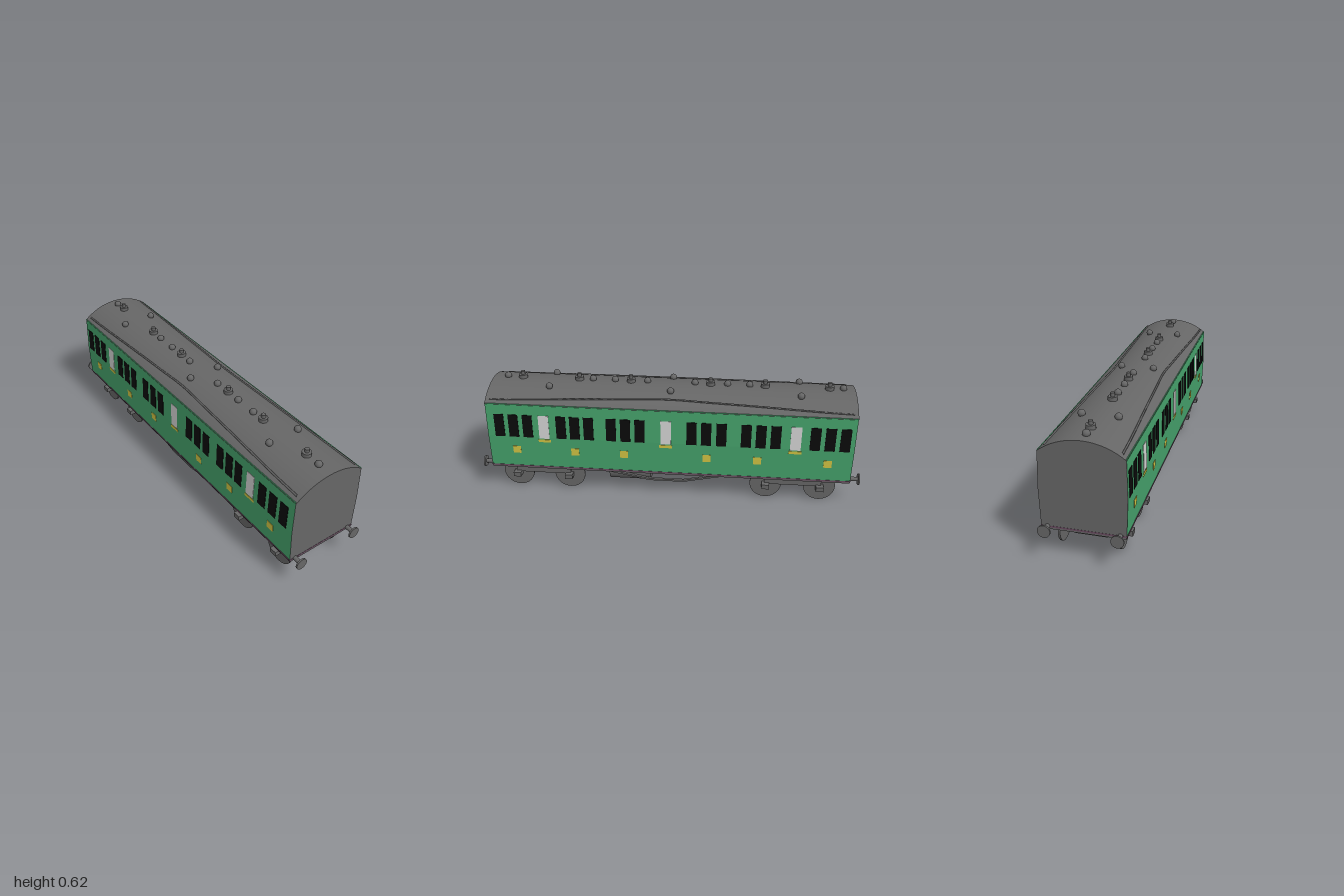
import * as THREE from 'three';

const mat = (name, color) => {
  const m = new THREE.MeshStandardMaterial({ color });
  m.name = name;
  return m;
};

export function createModel() {
  const root = new THREE.Group();
  root.name = 'railwayCoach';
  const grey = mat('darkGrey', 0x666666);
  const green = mat('coachGreen', 0x46a36c);
  const black = mat('windowBlack', 0x0a0a0a);
  const white = mat('frostedWhite', 0xd4d4d4);
  const yellow = mat('yellow', 0xd4c644);
  const plum = mat('plumGrey', 0x6b4d62);

  const add = (name, geo, material, x = 0, y = 0, z = 0, parent = root) => {
    const m = new THREE.Mesh(geo, material);
    m.name = name;
    m.position.set(x, y, z);
    parent.add(m);
    return m;
  };
  const box = (w, h, d) => new THREE.BoxGeometry(w, h, d);
  const cylX = (r, len, n = 32) => new THREE.CylinderGeometry(r, r, len, n).rotateZ(Math.PI / 2);
  const cylZ = (r, len, n = 32) => new THREE.CylinderGeometry(r, r, len, n).rotateX(Math.PI / 2);
  const extrude = (shape, len) =>
    new THREE.ExtrudeGeometry(shape, { depth: len, bevelEnabled: false, curveSegments: 20 }).translate(0, 0, -len / 2);

  // Body shell: grey ends, green sides
  const BOTTOM = 0.15, WAIST = 0.33, EAVES = 0.515;
  const body = new THREE.Shape([
    [-0.194, BOTTOM], [0.194, BOTTOM], [0.2, WAIST], [0.195, EAVES], [-0.195, EAVES], [-0.2, WAIST],
  ].map(p => new THREE.Vector2(...p)));
  add('body', extrude(body, 1.9), [grey, green]);

  // Arched roof
  const ROOF_R = 0.3136, ROOF_Y = 0.2664;
  const roofY = x => ROOF_Y + Math.sqrt(ROOF_R * ROOF_R - x * x);
  const half = Math.asin(0.196 / ROOF_R);
  const roof = new THREE.Shape();
  roof.moveTo(-0.196, 0.511);
  roof.lineTo(0.196, 0.511);
  roof.absarc(0, ROOF_Y, ROOF_R, Math.PI / 2 - half, Math.PI / 2 + half, false);
  add('roof', extrude(roof, 1.904), grey);

  // Floor and sole strip
  add('floor', box(0.384, 0.009, 1.9), grey, 0, 0.1405, 0);
  add('soleStrip', box(0.392, 0.008, 1.902), plum, 0, 0.148, 0);

  // Thin plates that follow the slope of the sides
  const sideX = y => y > WAIST
    ? 0.2 - 0.005 * (y - WAIST) / (EAVES - WAIST)
    : 0.2 - 0.006 * (WAIST - y) / (WAIST - BOTTOM);
  const plate = (name, s, y, z, h, w, material) => {
    const m = add(name, box(0.004, h, w), material, s * sideX(y), y, z);
    m.rotation.z = s * (y > WAIST ? 0.027 : -0.033);
  };
  const windows = [0.884, 0.809, 0.734, 0.557, 0.485, 0.412, 0.294, 0.22, 0.145,
    -0.123, -0.198, -0.276, -0.402, -0.477, -0.552, -0.75, -0.825, -0.9];
  for (const s of [1, -1]) {
    windows.forEach(z => plate('window', s, 0.392, z, 0.128, 0.052, black));
    [0.648, 0.01, -0.653].forEach(z => {
      plate('frostedWindow', s, 0.39, z, 0.132, 0.054, white);
      plate('nameBar', s, 0.31, z, 0.016, 0.066, yellow);
    });
    [0.803, 0.49, 0.23, -0.203, -0.465, -0.824].forEach(z =>
      plate('sidePanel', s, 0.25, z, 0.042, 0.042, yellow));

    // Rain strip bowing up the roof towards the middle
    const pts = [-0.93, -0.78, -0.45, -0.2, 0, 0.2, 0.45, 0.78, 0.93].map(z => {
      const x = 0.173 - 0.037 * (1 - Math.min(1, Math.abs(z) / 0.85)) ** 0.9;
      return new THREE.Vector3(s * x, roofY(x) + 0.002, z);
    });
    const strip = new THREE.CatmullRomCurve3(pts);
    add('rainStrip', new THREE.TubeGeometry(strip, 40, 0.005, 6), grey);

    // Truss rod under the floor
    const rod = [[0.41, 0.14], [0.1, 0.08], [-0.08, 0.08], [-0.36, 0.14]];
    for (let i = 0; i < 3; i++) {
      const [z0, y0] = rod[i], [z1, y1] = rod[i + 1];
      const bar = add('trussRod', box(0.014, 0.01, Math.hypot(z1 - z0, y1 - y0) + 0.006), grey,
        s * 0.155, (y0 + y1) / 2, (z0 + z1) / 2);
      bar.rotation.x = Math.atan2(y1 - y0, z0 - z1);
    }

    // Buffers at both ends
    for (const e of [1, -1]) {
      add('bufferShank', cylZ(0.011, 0.06, 16), grey, s * 0.165, 0.15, e * 0.965);
      add('bufferHead', cylZ(0.03, 0.008), grey, s * 0.165, 0.15, e * 0.996);
    }
  }

  // Dome ventilators
  const dome = new THREE.SphereGeometry(0.018, 20, 14);
  [0.875, 0.415, 0.297, 0.125, -0.125, -0.295, -0.41, -0.89].forEach(z =>
    add('domeVent', dome, grey, -0.006, 0.587, z));
  [0.63, -0.005, -0.67].forEach(z =>
    [-0.083, 0.089].forEach(x => add('domeVent', dome, grey, x, 0.578, z)));

  // Stepped lamp covers
  [0.793, 0.488, 0.212, -0.207, -0.49, -0.82].forEach(z => {
    add('lampBase', new THREE.CylinderGeometry(0.023, 0.023, 0.03, 20), grey, -0.003, 0.584, z);
    add('lampTop', new THREE.CylinderGeometry(0.011, 0.011, 0.03, 16), grey, -0.003, 0.602, z);
  });

  // Gas cylinders, set diagonally
  add('gasCylinder', cylZ(0.055, 0.224), grey, 0.088, 0.101, 0.21);
  add('gasCylinder', cylZ(0.055, 0.226), grey, -0.072, 0.101, -0.242);

  // Two four-wheeled bogies
  for (const zc of [0.682, -0.66]) {
    const bogie = new THREE.Group();
    bogie.name = 'bogie';
    bogie.position.z = zc;
    root.add(bogie);
    add('bogieFrame', box(0.155, 0.066, 0.34), grey, 0.003, 0.085, 0, bogie);
    add('bogiePivot', box(0.1, 0.03, 0.12), grey, 0, 0.126, 0, bogie);
    for (const s of [1, -1]) {
      add('sideFrame', box(0.055, 0.046, 0.3), grey, s * 0.132, 0.112, 0, bogie);
      for (const e of [1, -1]) {
        add('wheel', cylX(0.083, 0.01), grey, s * 0.14, 0.083, e * 0.142, bogie);
        add('axleBox', box(0.04, 0.025, 0.04), grey, s * 0.166, 0.083, e * 0.142, bogie);
      }
    }
    for (const e of [1, -1]) add('axle', cylX(0.01, 0.28, 12), grey, 0, 0.083, e * 0.142, bogie);
  }
  return root;
}
